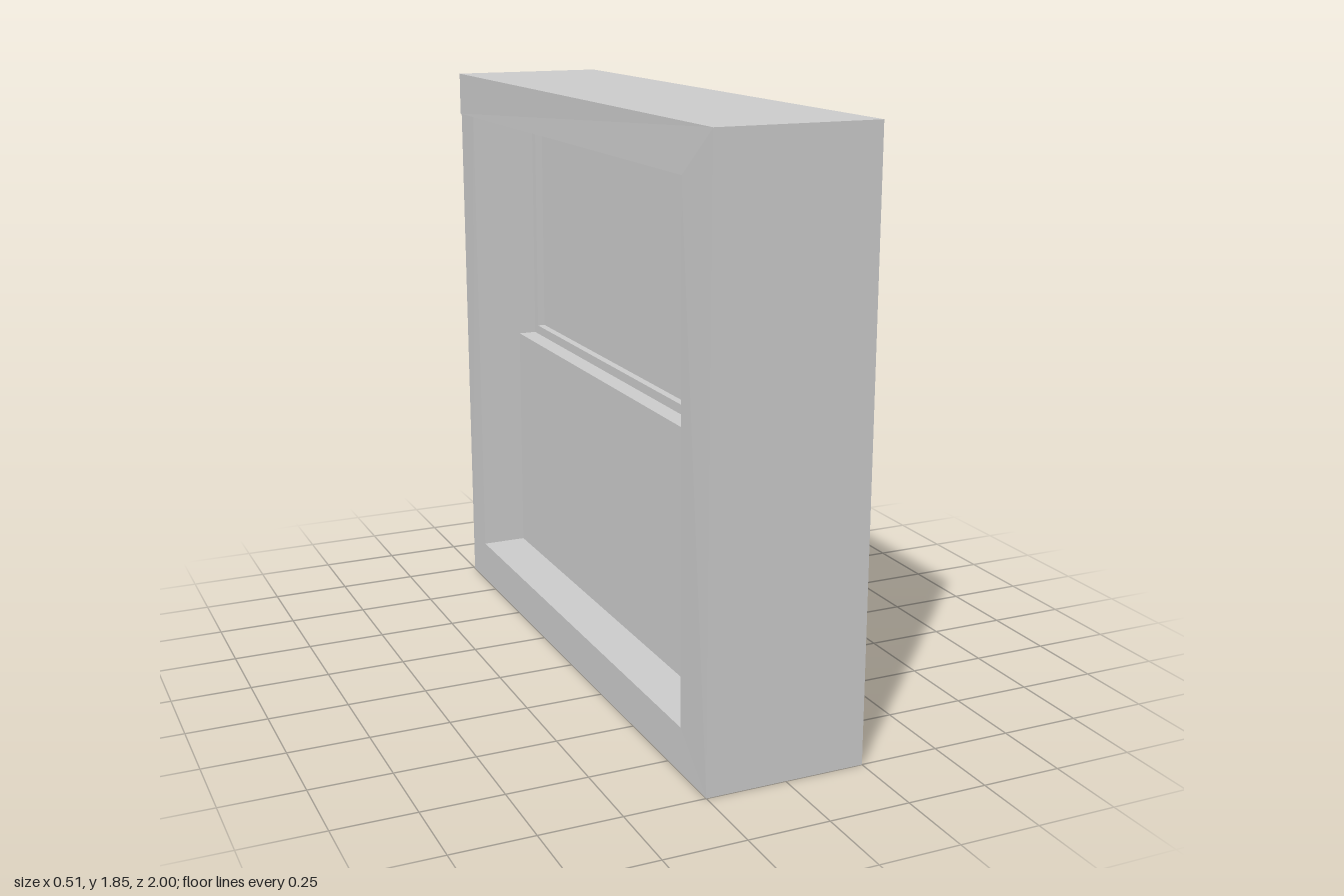
import * as THREE from 'three';

const material = new THREE.MeshStandardMaterial({ color: 0xcccccc, flatShading: true });

// Closed path in the (z, y) plane
const rectangle = (z0, z1, y0, y1) => [[z0, y0], [z1, y0], [z1, y1], [z0, y1]];
const toPoints = (corners) => corners.map(([z, y]) => new THREE.Vector2(z, y));

// Slab with an optional opening, its profile in (z, y), running from x0 to x1
function slab(name, outline, opening, x0, x1) {
  const shape = new THREE.Shape(toPoints(outline));
  if (opening) shape.holes.push(new THREE.Path(toPoints(opening).reverse()));
  const geometry = new THREE.ExtrudeGeometry(shape, { depth: x1 - x0, bevelEnabled: false });
  geometry.rotateY(-Math.PI / 2).translate(x1, 0, 0);
  const mesh = new THREE.Mesh(geometry, material);
  mesh.name = name;
  return mesh;
}

export function createModel() {
  const model = new THREE.Group();
  model.name = 'sashWindow';

  // Wall surround, with the lintel overhanging slightly at the back
  const outline = [[-0.988, 0], [1, 0], [1, 1.85], [-1, 1.85], [-1, 1.71], [-0.988, 1.71]];
  const surround = slab('surround', outline, rectangle(-0.86, 0.83, 0.14, 1.71), -0.25, 0.25);

  // The upper part swells a little away from the front edge
  const position = surround.geometry.attributes.position;
  for (let i = 0; i < position.count; i++) {
    if (position.getZ(i) < 0.9 && position.getY(i) > 1) {
      position.setX(i, position.getX(i) < 0 ? -0.257 : 0.254);
    }
  }
  surround.geometry.computeVertexNormals();
  model.add(surround);

  // Solid lower sash
  model.add(slab('lowerSash', rectangle(-0.86, 0.83, 0.14, 0.925), null, -0.1, 0.115));

  // Upper sash frame and its recessed pane
  const paneEdge = rectangle(-0.83, 0.76, 0.955, 1.672);
  model.add(slab('upperSashFrame', rectangle(-0.86, 0.83, 0.925, 1.71), paneEdge, -0.04, 0.06));
  model.add(slab('upperPane', paneEdge, null, -0.015, 0.03));

  return model;
}
